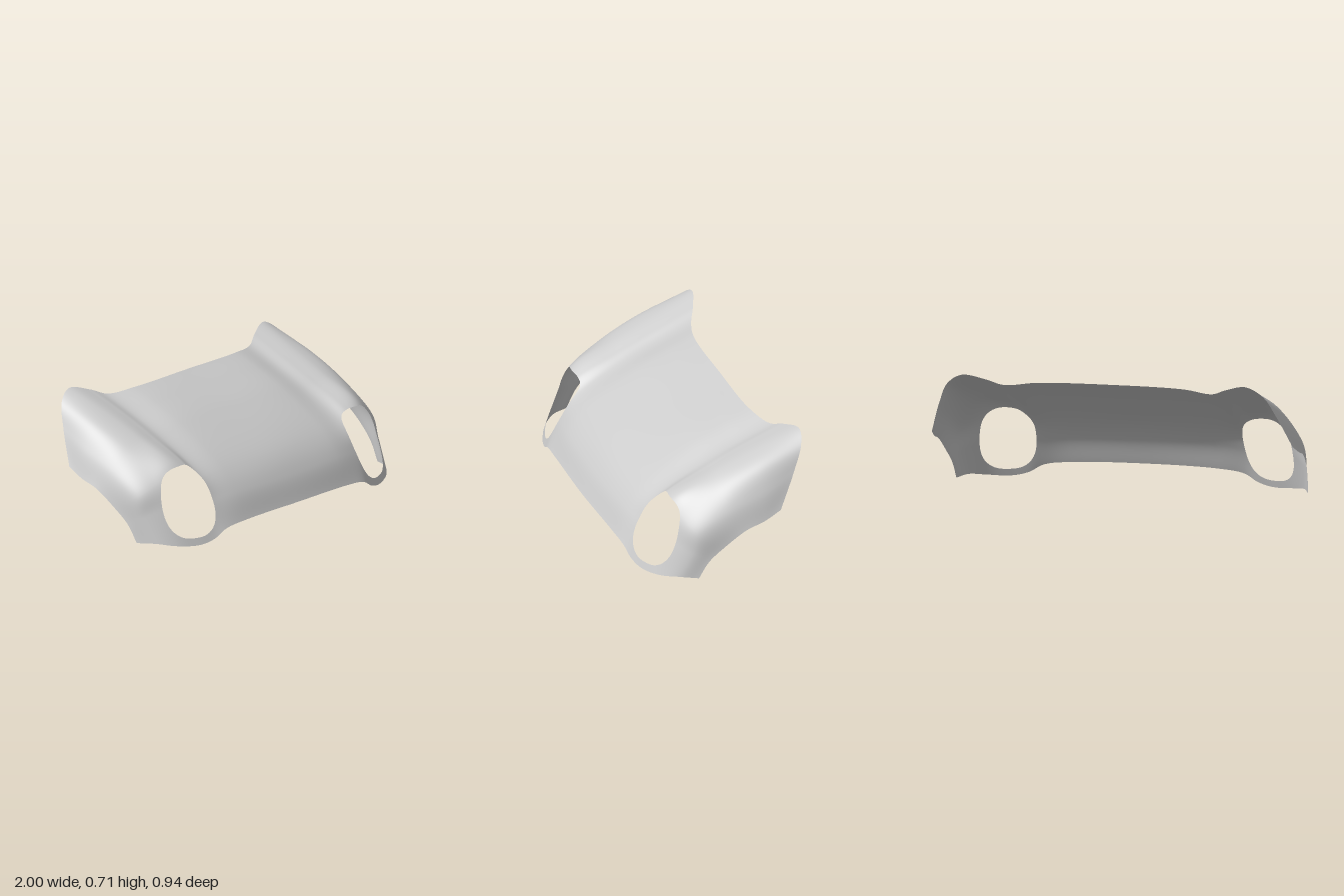
import * as THREE from 'three';
import { mergeVertices } from 'three/addons/utils/BufferGeometryUtils.js';

// Lengthwise curves of one half, from the centre line out to the wheel arch;
// each runs from the front lip back to the rear edge.
const centre = [[0, .085, .47], [0, .22, .405], [0, .34, .30], [0, .52, 0], [0, .605, -.19], [0, .66, -.325]];
const sideCurves = [
  // bonnet panel
  [[.4, .078, .457], [.4, .22, .39], [.4, .338, .285], [.4, .515, 0], [.4, .6, -.19], [.4, .655, -.335]],
  // valley beside the wing
  [[.55, .06, .445], [.56, .21, .37], [.57, .325, .285], [.57, .487, 0], [.57, .572, -.2], [.57, .645, -.385]],
  // inner slope of the wing
  [[.63, .018, .432], [.64, .2, .36], [.65, .37, .27], [.65, .505, 0], [.65, .59, -.2], [.66, .68, -.43]],
  // wing crest
  [[.72, 0, .408], [.74, .2, .33], [.75, .4, .235], [.75, .518, 0], [.76, .603, -.2], [.78, .708, -.473]],
  // shoulder
  [[.84, .01, .35], [.85, .2, .275], [.85, .335, .215], [.86, .48, 0], [.87, .57, -.2], [.865, .655, -.45]],
  // flank
  [[.92, .025, .27], [.94, .16, .2], [.945, .27, .16], [.95, .38, 0], [.95, .46, -.2], [.925, .535, -.385]],
  // wheel arch edge
  [[.965, .02, .175], [.975, .115, .12], [.99, .2, .03], [1, .28, -.085], [1, .315, -.19], [.99, .358, -.285]],
];

const STEPS_U = 140, STEPS_V = 70;

const curveFrom = (pts) => new THREE.CatmullRomCurve3(pts);
const toVectors = (pts, side) => pts.map(([x, y, z]) => new THREE.Vector3(x * side, y, z));

// Below zero inside the rounded lamp openings
function lampOpening(p) {
  const dy = p.y - .22;
  const dx = Math.abs(p.x) - (.715 - .08 * dy);
  return Math.abs(dx / .144) ** 2.6 + Math.abs(dy / .182) ** 2.6 - 1;
}

// Keep the part of a triangle that lies outside the openings
function clipTriangle(tri, out) {
  const poly = [];
  tri.forEach((a, i) => {
    const b = tri[(i + 1) % 3];
    const da = lampOpening(a), db = lampOpening(b);
    if (da >= 0) poly.push(a);
    if (da * db < 0) poly.push(a.clone().lerp(b, da / (da - db)));
  });
  for (let i = 1; i + 1 < poly.length; i++) {
    for (const p of [poly[0], poly[i], poly[i + 1]]) out.push(p.x, p.y, p.z);
  }
}

function createShellGeometry() {
  const curves = [
    ...[...sideCurves].reverse().map((c) => curveFrom(toVectors(c, -1))),
    curveFrom(toVectors(centre, 1)),
    ...sideCurves.map((c) => curveFrom(toVectors(c, 1))),
  ];

  // Cross-sections lofted over the lengthwise curves
  const rows = [];
  for (let j = 0; j <= STEPS_V; j++) {
    rows.push(curveFrom(curves.map((c) => c.getPoint(j / STEPS_V))).getPoints(STEPS_U));
  }

  const positions = [];
  for (let j = 0; j < STEPS_V; j++) {
    for (let i = 0; i < STEPS_U; i++) {
      const a = rows[j][i], b = rows[j][i + 1], c = rows[j + 1][i + 1], d = rows[j + 1][i];
      clipTriangle([a, b, c], positions);
      clipTriangle([a, c, d], positions);
    }
  }
  const geometry = new THREE.BufferGeometry();
  geometry.setAttribute('position', new THREE.Float32BufferAttribute(positions, 3));
  const smooth = mergeVertices(geometry, 1e-5);
  smooth.computeVertexNormals();
  return smooth;
}

export function createModel() {
  const group = new THREE.Group();
  group.name = 'carFrontBodywork';
  const material = new THREE.MeshStandardMaterial({ color: 0xcccccc, side: THREE.DoubleSide });
  const shell = new THREE.Mesh(createShellGeometry(), material);
  shell.name = 'bonnetAndWings';
  group.add(shell);
  return group;
}
